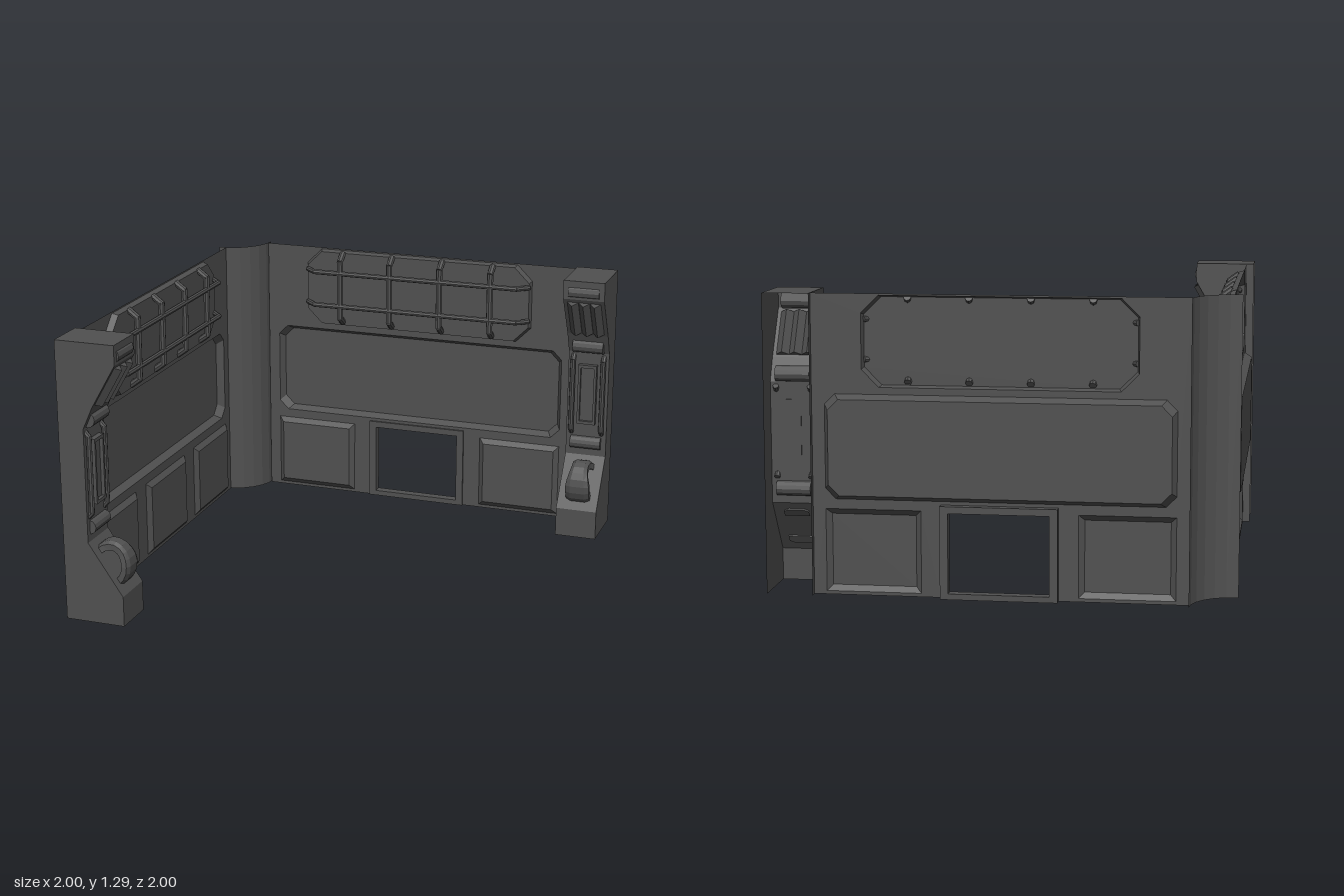
import * as THREE from 'three';

const mat = new THREE.MeshStandardMaterial({ color: 0x505050, flatShading: true, side: THREE.DoubleSide });
const H = 1.29, WALL = -0.965, BACK = -1;

function add(parent, name, geo, x = 0, y = 0, z = 0) {
  const m = new THREE.Mesh(geo, mat);
  m.name = name;
  m.position.set(x, y, z);
  parent.add(m);
  return m;
}

// Skin through equal-length rings of [x, y, z]; optional fan caps and closed rings
function loft(rings, { closed = true, capStart = false, capEnd = false } = {}) {
  const n = rings[0].length, idx = [];
  for (let r = 0; r < rings.length - 1; r++)
    for (let i = 0; i < (closed ? n : n - 1); i++) {
      const j = (i + 1) % n, a = r * n + i, b = r * n + j;
      idx.push(a, b, b + n, a, b + n, a + n);
    }
  const last = (rings.length - 1) * n;
  for (let i = 1; i < n - 1; i++) {
    if (capStart) idx.push(0, i + 1, i);
    if (capEnd) idx.push(last, last + i, last + i + 1);
  }
  const g = new THREE.BufferGeometry();
  g.setAttribute('position', new THREE.Float32BufferAttribute(rings.flat(2), 3));
  g.setIndex(idx);
  const flat = g.toNonIndexed();
  flat.computeVertexNormals();
  return flat;
}

// Rectangle outline with cut corners
function outline(x0, x1, y0, y1, c) {
  if (!c) return [[x0, y0], [x1, y0], [x1, y1], [x0, y1]];
  return [[x0 + c, y0], [x1 - c, y0], [x1, y0 + c], [x1, y1 - c],
    [x1 - c, y1], [x0 + c, y1], [x0, y1 - c], [x0, y0 + c]];
}
const shapeOf = (pts) => new THREE.Shape(pts.map((p) => new THREE.Vector2(...p)));

// Round bar between two points
function bar(parent, name, a, b, r) {
  const p = new THREE.Vector3(...a), q = new THREE.Vector3(...b), d = q.clone().sub(p);
  const m = add(parent, name, new THREE.CylinderGeometry(r, r, d.length() + r * 0.5, 8));
  m.position.copy(p).add(q).multiplyScalar(0.5);
  m.quaternion.setFromUnitVectors(new THREE.Vector3(0, 1, 0), d.normalize());
}
function bentBar(parent, name, pts, r) {
  for (let i = 0; i < pts.length - 1; i++) bar(parent, name, pts[i], pts[i + 1], r);
}

function buildWall(hasDoor) {
  const g = new THREE.Group();
  g.name = hasDoor ? 'doorWall' : 'plainWall';
  const sheet = shapeOf(outline(-0.8, 0.8, 0, H, 0));

  // Panel pressed into or out of the wall sheet, with a bevelled rim
  const panel = (name, x0, x1, y0, y1, c, z, bevel) => {
    const o = outline(x0, x1, y0, y1, c);
    const i = outline(x0 + bevel, x1 - bevel, y0 + bevel, y1 - bevel, c);
    sheet.holes.push(new THREE.Path(o.map((p) => new THREE.Vector2(...p))));
    add(g, name, loft([o.map((p) => [...p, WALL]), i.map((p) => [...p, z])], { capEnd: true }));
  };
  panel('recessedPanel', -0.745, 0.745, 0.415, 0.865, 0.045, BACK, 0.02);
  panel('rackPlate', -0.585, 0.585, 0.895, 1.283, 0.075, -0.937, 0.008);
  for (const s of [-1, 1])
    panel('lowerPanel', Math.min(s * 0.745, s * 0.335), Math.max(s * 0.745, s * 0.335), 0.015, 0.372, 0, -0.945, 0.024);

  if (hasDoor) {
    const hole = outline(-0.25, 0.25, 0.001, 0.4, 0);
    sheet.holes.push(new THREE.Path(hole.map((p) => new THREE.Vector2(...p))));
    const frame = shapeOf(outline(-0.25, 0.25, 0, 0.4, 0));
    frame.holes.push(shapeOf(outline(-0.215, 0.215, 0.025, 0.37, 0)));
    add(g, 'hatchFrame', new THREE.ExtrudeGeometry(frame, { depth: 0.045, bevelEnabled: false }), 0, 0, BACK);
  } else panel('lowerPanel', -0.222, 0.222, 0.015, 0.372, 0, -0.945, 0.024);

  add(g, 'wallSheet', new THREE.ShapeGeometry(sheet), 0, 0, WALL);
  // Folded wall ends
  for (const x of [-0.8, 0.8])
    add(g, 'wallFlange', loft([[[x, 0, BACK], [x, 0, WALL]], [[x, H, BACK], [x, H, WALL]]], { closed: false }));

  // Pipe rack in front of the upper plate
  for (const y of [1.01, 1.18])
    bentBar(g, 'rackRail', [[-0.575, y, -0.94], [-0.525, y, -0.893], [0.525, y, -0.893], [0.575, y, -0.94]], 0.013);
  for (const x of [-0.39, -0.13, 0.13, 0.39])
    bentBar(g, 'rackUpright', [[x, 1.272, -0.94], [x, 1.24, -0.897], [x, 0.95, -0.897], [x, 0.918, -0.94]], 0.016);
  return g;
}

// Pillar centred on local x = 0 with its open back on z = -1
function buildPillar() {
  const g = new THREE.Group();
  g.name = 'pillar';
  const w = 0.1;
  const profile = [[BACK, H], [-0.72, H], [-0.72, 1.2], [-0.835, 1.0], [-0.88, 0.9],
    [-0.88, 0.375], [-0.72, 0.14], [-0.72, 0]];
  add(g, 'pillarFace', loft([profile.map(([z, y]) => [-w, y, z]), profile.map(([z, y]) => [w, y, z])], { closed: false }));
  const side = shapeOf([...profile, [BACK, 0]]);
  for (const x of [-w, w])
    add(g, 'pillarSide', new THREE.ShapeGeometry(side).applyMatrix4(
      new THREE.Matrix4().set(0, 0, 1, x, 0, 1, 0, 0, 1, 0, 0, 0, 0, 0, 0, 1)));

  // Rounded cross bolsters
  for (const [y, z, r] of [[1.235, -0.745, 0.035], [0.935, -0.872, 0.035], [0.44, -0.883, 0.032]])
    add(g, 'bolster', new THREE.CylinderGeometry(r, r, 0.15, 12), 0, y, z).rotation.z = Math.PI / 2;

  // Angled ridges under the head
  for (const x of [-0.055, 0, 0.055]) {
    const m = add(g, 'ridge', new THREE.CylinderGeometry(0.029, 0.029, 0.2, 4), x, 1.098, -0.781);
    m.rotation.x = Math.atan2(0.115, 0.2);
  }

  // Middle plate with side tubes
  for (const x of [-0.075, 0.075]) {
    bentBar(g, 'sideTube', [[x, 0.49, -0.885], [x, 0.51, -0.867], [x, 0.86, -0.867], [x, 0.88, -0.885]], 0.013);
  }
  const plate = shapeOf(outline(-0.045, 0.045, 0.54, 0.84, 0));
  plate.holes.push(shapeOf(outline(-0.033, 0.033, 0.555, 0.825, 0)));
  add(g, 'plateFrame', new THREE.ExtrudeGeometry(plate, { depth: 0.025, bevelEnabled: false }), 0, 0, -0.88);
  add(g, 'centrePlate', new THREE.BoxGeometry(0.066, 0.27, 0.012), 0, 0.69, -0.877);

  // Arched brace over the foot, waisted in the middle
  const center = [-0.805, 0.26], rings = [];
  for (let i = 0; i <= 10; i++) {
    const t = i / 10, a = THREE.MathUtils.lerp(2.3, -0.95, t);
    const hw = 0.055 - 0.016 * Math.sin(Math.PI * Math.min(1, t * 1.5)) + 0.004 * t;
    const at = (x, r) => [x, center[1] + Math.sin(a) * r * 1.15, center[0] + Math.cos(a) * r];
    rings.push([at(-hw, 0.06), at(hw, 0.06), at(hw, 0.085), at(hw * 0.6, 0.095), at(-hw * 0.6, 0.095), at(-hw, 0.085)]);
  }
  add(g, 'archedBrace', loft(rings, { capStart: true, capEnd: true }));
  return g;
}

export function createModel() {
  const model = new THREE.Group();
  model.name = 'roomCorner';

  const back = buildWall(true);
  const backPillar = buildPillar();
  backPillar.position.x = 0.9;
  back.add(backPillar);

  const sideWall = buildWall(false);
  const sidePillar = buildPillar();
  sidePillar.position.x = -0.9;
  sideWall.add(sidePillar);
  sideWall.rotation.y = Math.PI / 2;

  // Quarter-round column where the walls meet
  const arc = [];
  for (let i = 0; i <= 6; i++) {
    const a = (i / 6) * Math.PI / 2;
    arc.push([-1 + 0.2 * Math.cos(a), -1 + 0.2 * Math.sin(a)]);
  }
  add(model, 'cornerColumn', loft([arc.map(([x, z]) => [x, 0, z]), arc.map(([x, z]) => [x, H, z])], { closed: false }));

  model.add(back, sideWall);
  return model;
}
